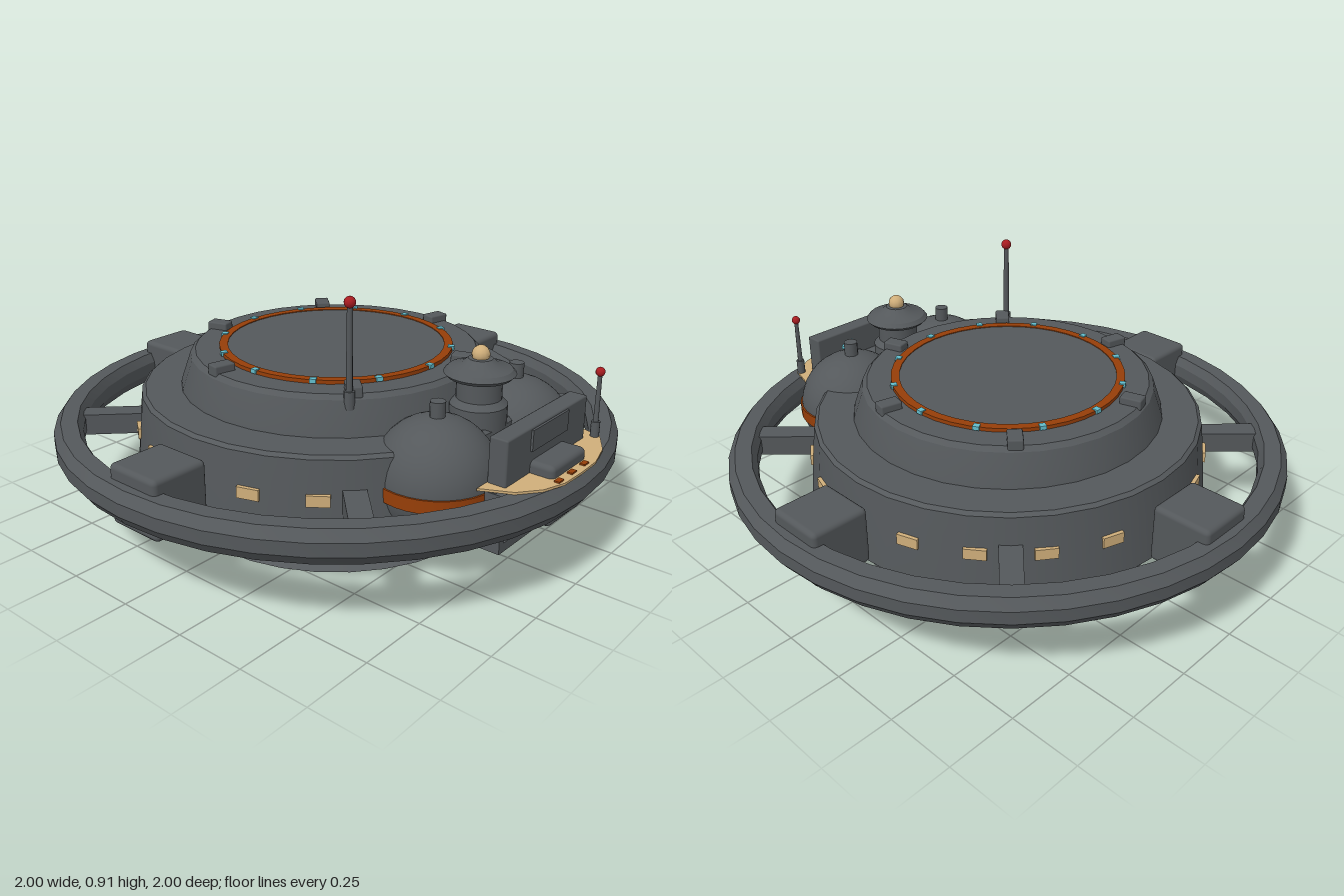
import * as THREE from 'three';
import { toCreasedNormals } from 'three/addons/utils/BufferGeometryUtils.js';
import { RoundedBoxGeometry } from 'three/addons/geometries/RoundedBoxGeometry.js';

const mat = (name, color, side = THREE.FrontSide) => {
  const m = new THREE.MeshStandardMaterial({ color, side });
  m.name = name;
  return m;
};

export function createModel() {
  const root = new THREE.Group();
  root.name = 'saucerStation';
  const grey = mat('hull grey', 0x54585b);
  const orange = mat('rust orange', 0x963e08);
  const beige = mat('warm beige', 0xcfae7a);
  const red = mat('beacon red', 0xa81c20);
  const cyan = mat('light cyan', 0x62bccb);

  const add = (name, geo, material, x = 0, y = 0, z = 0, ry = 0) => {
    const m = new THREE.Mesh(geo, material);
    m.name = name;
    m.position.set(x, y, z);
    m.rotation.y = ry;
    root.add(m);
    return m;
  };
  // place a part at an angle around the hull, its local x pointing outwards
  const around = (name, geo, material, r, y, a) =>
    add(name, geo, material, r * Math.cos(a), y, r * Math.sin(a), -a);
  const lathe = (pts, seg = 32) => toCreasedNormals(
    new THREE.LatheGeometry(pts.map(p => new THREE.Vector2(...p)), seg), 0.45);
  const box = (w, h, d) => new THREE.BoxGeometry(w, h, d);
  const cyl = (rt, rb, h, s = 12) => new THREE.CylinderGeometry(rt, rb, h, s);
  const ball = r => new THREE.SphereGeometry(r, 12, 8);

  // landing skirt, hull drum and roof
  add('landingSkirt', lathe([[0, 0], [0.58, 0], [0.29, 0.185], [0, 0.185]]), grey);
  add('hullDrum', lathe([[0, 0.177], [0.71, 0.177], [0.722, 0.187], [0.703, 0.375],
    [0.693, 0.452], [0.68, 0.463], [0, 0.463]]), grey);
  add('upperDeck', lathe([[0, 0.46], [0.555, 0.46], [0.552, 0.475], [0.517, 0.575],
    [0.5, 0.59], [0, 0.59]]), grey);
  add('roofRing', lathe([[0.385, 0.588], [0.415, 0.588], [0.415, 0.603],
    [0.385, 0.603], [0.385, 0.588]], 40), orange);
  add('roofDisc', cyl(0.388, 0.388, 0.015, 40), grey, 0, 0.5925);
  for (let i = 0; i < 12; i++)
    around('roofLight', box(0.022, 0.014, 0.022), cyan, 0.41, 0.6, i * Math.PI / 6);
  for (let i = 0; i < 6; i++)
    around('roofClamp', new RoundedBoxGeometry(0.078, 0.04, 0.052, 1, 0.006), grey,
      0.472, 0.596, (43 + i * 60) * Math.PI / 180);

  // windows around the drum
  for (let i = 0; i < 20; i++) {
    const a = i * Math.PI / 10;
    if (Math.cos(a) > 0.75) continue;
    around('window', box(0.018, 0.038, 0.075), beige, 0.707, 0.325, a);
  }

  // outer ring with diagonal spokes and pods
  add('outerRing', lathe([[0.9, 0.3], [0.918, 0.265], [0.975, 0.265], [1, 0.3], [1, 0.345],
    [0.975, 0.378], [0.918, 0.378], [0.9, 0.345], [0.9, 0.3]], 40), grey);
  for (let i = 0; i < 4; i++) {
    around('spoke', box(0.25, 0.075, 0.075), grey, 0.805, 0.32, (i + 0.5) * Math.PI / 2);
    around('ringPod', new RoundedBoxGeometry(0.21, 0.205, 0.212, 2, 0.018), grey,
      0.84, 0.323, i * Math.PI / 2);
  }

  // twin side tanks
  for (const s of [-1, 1]) {
    const z = s * 0.232;
    add('sideTank', new THREE.SphereGeometry(0.203, 32, 20), grey, 0.605, 0.343, z);
    add('tankBand', cyl(0.208, 0.208, 0.045, 32), orange, 0.605, 0.335, z);
    add('tankKnob', cyl(0.025, 0.025, 0.07), grey, 0.605, 0.56, z);
    const pipe = add('coolantPipe', box(0.012, 0.012, 0.085), cyan, 0.787, 0.49, s * 0.115);
    pipe.rotation.y = -s * 0.5;
  }

  // lookout tower between the tanks
  add('lookoutTower', lathe([[0, 0.2], [0.095, 0.2], [0.095, 0.52], [0.075, 0.54],
    [0.075, 0.605], [0, 0.605]], 24), grey, 0.605);
  add('towerCap', lathe([[0, 0.597], [0.06, 0.597], [0.105, 0.612], [0.118, 0.625],
    [0.105, 0.64], [0.06, 0.655], [0.04, 0.672], [0, 0.675]], 24), grey, 0.605);
  add('towerLamp', ball(0.03), beige, 0.605, 0.685);

  // docking bay: floor, walls and panels
  add('bayFloor', box(0.35, 0.03, 0.54), grey, 0.695, 0.19, 0);
  add('bayLowerWall', box(0.03, 0.2, 0.53), grey, 0.83, 0.275, 0);
  for (const s of [-1, 1])
    add('bayPost', box(0.06, 0.19, 0.025), grey, 0.84, 0.275, s * 0.2575);
  add('bayUpperWall', new RoundedBoxGeometry(0.065, 0.165, 0.49, 1, 0.006), grey, 0.832, 0.455, 0);
  add('wallHatch', box(0.008, 0.07, 0.22), grey, 0.868, 0.495, 0);
  add('bayPanel', box(0.008, 0.06, 0.14), orange, 0.849, 0.238, -0.175);

  // balcony following the outer ring
  const deck = new THREE.Shape([[0.8, 0.3], [0.8, -0.32], [0.9, -0.29], [0.955, -0.2],
    [0.982, -0.1], [0.985, 0], [0.982, 0.1], [0.955, 0.18], [0.9, 0.25]]
    .map(p => new THREE.Vector2(...p)));
  const deckGeo = new THREE.ExtrudeGeometry(deck, { depth: 0.008, bevelEnabled: false });
  deckGeo.rotateX(Math.PI / 2);
  add('balcony', deckGeo, beige, 0, 0.387, 0);
  for (const z of [-0.06, 0.02, 0.1])
    add('balconyMark', box(0.018, 0.006, 0.03), orange, 0.962, 0.389, z);

  // antennas with beacons
  const antenna = (x, z, y0, y1, r) => {
    add('antennaBase', cyl(r * 1.5, r * 1.5, 0.06), grey, x, y0 + 0.03, z);
    add('antennaMast', cyl(r * 0.75, r, y1 - y0, 8), grey, x, (y0 + y1) / 2, z);
    add('antennaBeacon', ball(r * 1.6), red, x, y1, z);
  };
  antenna(0.362, 0.362, 0.545, 0.89, 0.012);
  antenna(0.885, -0.28, 0.38, 0.613, 0.01);

  return root;
}
